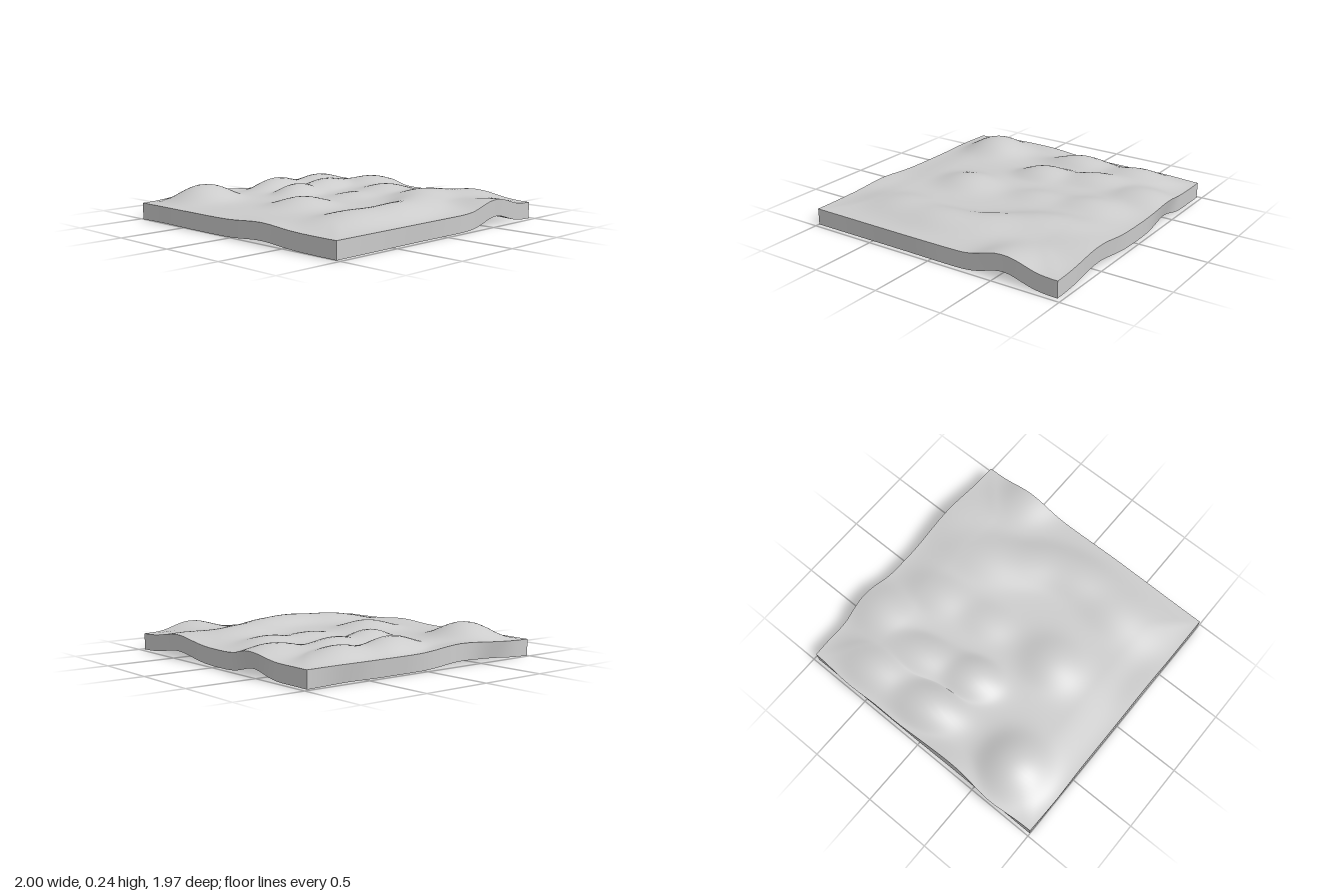
import * as THREE from 'three';

const THICKNESS = 0.118;
const X0 = -0.998, X1 = 0.967, Z0 = -0.978, Z1 = 0.967;

// Hills: x, z, radius along x, radius along z, height, turn
const HILLS = [
  [-0.64, -0.71, 0.19, 0.19, 0.105, 0],
  [0.1, -0.76, 0.22, 0.11, 0.08, 0.25],
  [0.57, -0.79, 0.22, 0.12, 0.065, 0.2],
  [-0.02, -0.41, 0.17, 0.11, 0.07, 0.35],
  [0.38, -0.51, 0.24, 0.11, 0.065, 0.3],
  [0.84, -0.43, 0.22, 0.16, 0.068, 0],
  [-0.38, 0.03, 0.2, 0.17, 0.065, 0],
  [0.18, -0.02, 0.18, 0.12, 0.03, 0.2],
  [0.58, -0.08, 0.2, 0.14, 0.045, 0.2],
  [-0.5, 0.62, 0.25, 0.17, 0.05, 0],
  [-0.12, 0.67, 0.25, 0.15, 0.057, 0.2],
  [0.2, 0.56, 0.22, 0.14, 0.045, 0.5],
  [0.5, 0.37, 0.27, 0.18, 0.058, 0.4],
  [0.93, 0.49, 0.24, 0.24, 0.048, 0],
  [0.57, 0.96, 0.18, 0.22, 0.066, 0],
  [-1.0, 0.3, 0.14, 0.22, 0.022, 0],
  [-0.33, -0.99, 0.24, 0.12, 0.03, 0],
];

// Height of the underside: low plateau fading out at the rim, plus the hills
function height(x, z) {
  const rim = Math.min(x - X0, X1 - x, z - Z0, Z1 - z);
  let y = 0.022 * THREE.MathUtils.smoothstep(rim, 0, 0.3);
  for (const [cx, cz, rx, rz, h, turn] of HILLS) {
    const c = Math.cos(turn), s = Math.sin(turn);
    const u = ((x - cx) * c - (z - cz) * s) / rx;
    const v = ((x - cx) * s + (z - cz) * c) / rz;
    y += h * Math.exp(-u * u - v * v);
  }
  return y;
}

function surfaceNormal(x, z) {
  const e = 0.01;
  return new THREE.Vector3(
    height(x - e, z) - height(x + e, z), 2 * e, height(x, z - e) - height(x, z + e)
  ).normalize();
}

export function createModel() {
  const group = new THREE.Group();
  group.name = 'terrainTile';

  // Slab bent over the hills, its top offset along the surface normal
  const geometry = new THREE.BoxGeometry(X1 - X0, 1, Z1 - Z0, 90, 1, 90);
  geometry.translate((X0 + X1) / 2, 0, (Z0 + Z1) / 2);
  const pos = geometry.attributes.position;
  const p = new THREE.Vector3();
  for (let i = 0; i < pos.count; i++) {
    p.fromBufferAttribute(pos, i);
    const isTop = p.y > 0;
    const normal = surfaceNormal(p.x, p.z);
    p.y = height(p.x, p.z);
    if (isTop) p.addScaledVector(normal, THICKNESS);
    pos.setXYZ(i, p.x, p.y, p.z);
  }
  geometry.computeVertexNormals();

  const ground = new THREE.Mesh(geometry, new THREE.MeshStandardMaterial({ color: 0xcccccc }));
  ground.name = 'hillyGround';
  group.add(ground);
  return group;
}
